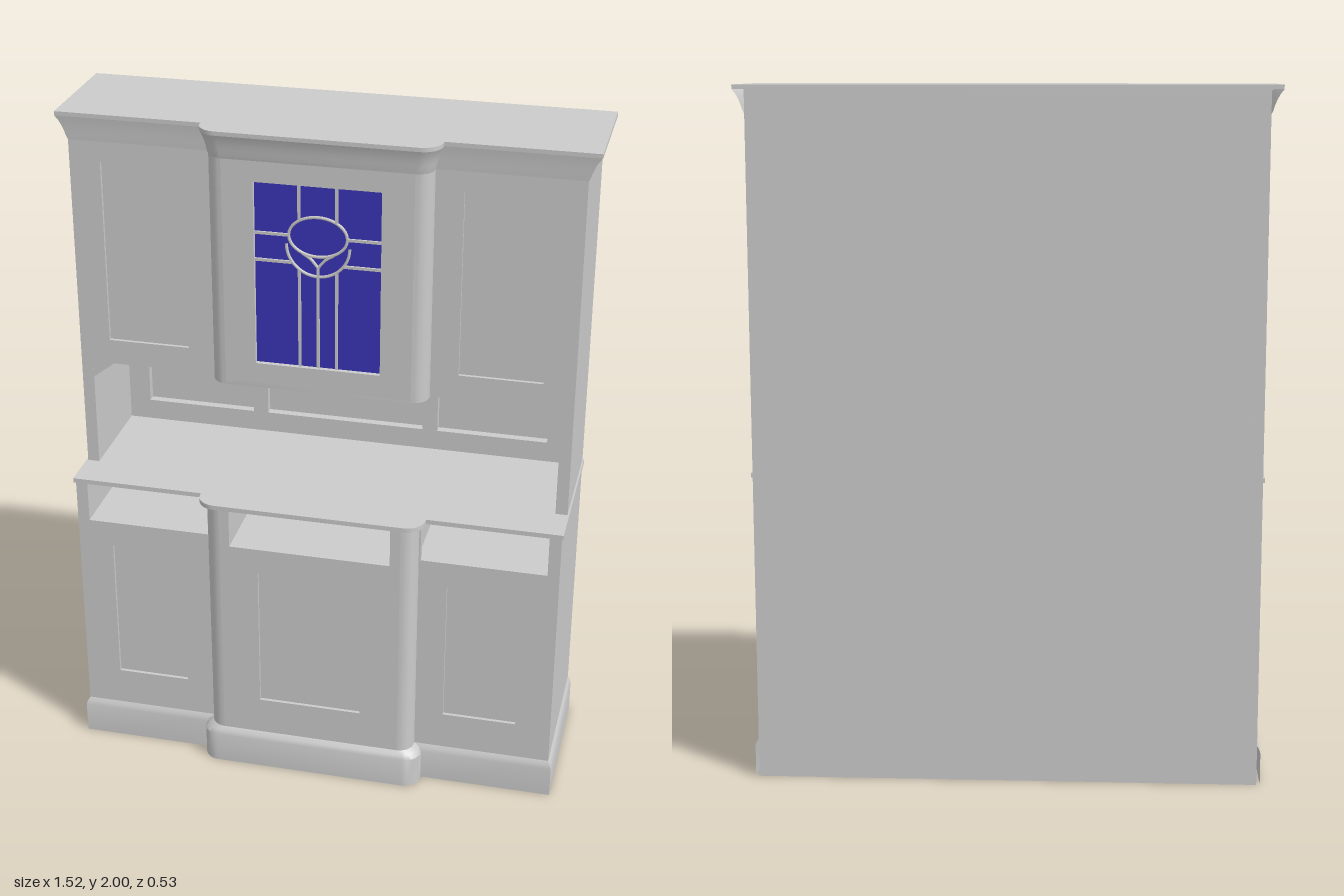
import * as THREE from 'three';
import { toCreasedNormals } from 'three/addons/utils/BufferGeometryUtils.js';

const grey = new THREE.MeshStandardMaterial({ color: 0xcccccc, side: THREE.DoubleSide });
const blue = new THREE.MeshStandardMaterial({ color: 0x3a35b8 });
const BACK = -0.265, ARC = 8;

export function createModel() {
  const root = new THREE.Group();

  const add = (name, geo, mat = grey) => {
    const mesh = new THREE.Mesh(geo, mat);
    mesh.name = name;
    root.add(mesh);
    return mesh;
  };
  const box = (name, x0, x1, y0, y1, z0, z1, mat) => {
    const g = new THREE.BoxGeometry(x1 - x0, y1 - y0, z1 - z0);
    g.translate((x0 + x1) / 2, (y0 + y1) / 2, (z0 + z1) / 2);
    return add(name, g, mat);
  };

  // Breakfront plan: half width, centre half width, wing front, centre front, corner radius
  const plan = (hw, hc, zw, zc, r = 0.045) => {
    const right = [];
    for (let i = 0; i <= ARC; i++) {
      const a = (Math.PI / 2) * (1 - i / ARC);
      right.push([hc - r + r * Math.cos(a), zc - r + r * Math.sin(a)]);
    }
    right.push([hc, zw], [hw, zw], [hw, BACK]);
    return [...right.map(([x, z]) => [-x, z]).reverse(), ...right];
  };

  // Surface through stacked plans; each row is [y, points]
  const loft = (name, rows) => {
    const n = rows[0][1].length, pos = [], index = [];
    rows.forEach(([y, pts]) => pts.forEach(([x, z]) => pos.push(x, y, z)));
    for (let j = 0; j < rows.length - 1; j++)
      for (let i = 0; i < n - 1; i++) {
        const a = j * n + i, b = a + 1, c = b + n, d = a + n;
        index.push(a, b, c, a, c, d);
      }
    const g = new THREE.BufferGeometry();
    g.setAttribute('position', new THREE.Float32BufferAttribute(pos, 3));
    g.setIndex(index);
    return add(name, toCreasedNormals(g, 0.6));
  };

  // Flat board cut to a plan
  const slab = (name, pts, y0, y1) => {
    const s = new THREE.Shape(pts.map(([x, z]) => new THREE.Vector2(x, z)));
    const g = new THREE.ExtrudeGeometry(s, { depth: y1 - y0, bevelEnabled: false });
    g.rotateX(Math.PI / 2).translate(0, y1, 0);
    return add(name, toCreasedNormals(g, 0.6));
  };

  // Upright board with rectangular openings [x0, x1, y0, y1]
  const rect = (T, x0, x1, y0, y1) => new T([[x0, y0], [x1, y0], [x1, y1], [x0, y1]].map(p => new THREE.Vector2(...p)));
  const board = (name, x0, x1, y0, y1, z, depth, openings) => {
    const s = rect(THREE.Shape, x0, x1, y0, y1);
    openings.forEach(o => s.holes.push(rect(THREE.Path, ...o)));
    const g = new THREE.ExtrudeGeometry(s, { depth, bevelEnabled: false });
    g.translate(0, 0, z - depth);
    return add(name, g);
  };
  const flip = (s, x0, x1) => (s > 0 ? [x0, x1] : [-x1, -x0]);

  // Carcass
  const lower = plan(0.725, 0.315, 0.197, 0.25);
  const upper = plan(0.725, 0.315, 0.085, 0.138);
  box('backPanel', -0.725, 0.725, 0, 1.99, BACK, -0.25);
  slab('drawerShelf', plan(0.72, 0.3, 0.19, 0.24), 0.75, 0.765);
  slab('upperCabinetFloor', upper, 1.24, 1.255);
  slab('worktop', plan(0.73, 0.335, 0.205, 0.268, 0.055), 0.893, 0.907);

  for (const s of [1, -1]) {
    const side = s > 0 ? 'left' : 'right';
    const outer = flip(s, 0.69, 0.725);
    box(side + 'LowerSide', ...outer, 0.1, 0.893, BACK, 0.195);
    box(side + 'UpperSide', ...outer, 0.9, 1.95, BACK, 0.085);
    box(side + 'Divider', ...flip(s, 0.29, 0.31), 0.03, 0.893, -0.25, 0.19);
    box(side + 'SlotCheek', ...flip(s, 0.24, 0.29), 0.765, 0.893, -0.25, 0.235);

    // Wing fronts with sunk door panels and open slots above the lower doors
    const lowPanel = [...flip(s, 0.4, 0.62), 0.235, 0.685];
    const highPanel = [...flip(s, 0.395, 0.635), 1.315, 1.86];
    board(side + 'LowerFront', ...flip(s, 0.31, 0.725), 0.1, 0.9, 0.197, 0.02,
      [lowPanel, [...flip(s, 0.32, 0.69), 0.765, 0.892]]);
    box(side + 'LowerDoorPanel', ...lowPanel, 0.177, 0.187);
    board(side + 'UpperFront', ...flip(s, 0.31, 0.725), 1.24, 1.95, 0.085, 0.02, [highPanel]);
    box(side + 'UpperDoorPanel', ...highPanel, 0.065, 0.075);

    // Rounded corners of the projecting centre
    const corner = pts => (s > 0 ? pts.slice(ARC + 4, 2 * ARC + 6) : pts.slice(2, ARC + 4));
    loft(side + 'LowerCorner', [[0.1, corner(lower)], [0.9, corner(lower)]]);
    loft(side + 'UpperCorner', [[1.24, corner(upper)], [1.95, corner(upper)]]);

    // Corner bracket of the open niche
    const tri = new THREE.Shape([[0.69, 1.19], [0.69, 1.24], [0.625, 1.24]].map(([x, y]) => new THREE.Vector2(s * x, y)));
    const g = new THREE.ExtrudeGeometry(tri, { depth: 0.02, bevelEnabled: false });
    add(side + 'NicheBracket', g.translate(0, 0, 0.064));
  }

  // Centre fronts
  const centrePanel = [-0.155, 0.155, 0.235, 0.685];
  const window_ = [-0.18, 0.18, 1.315, 1.86];
  board('centreLowerFront', -0.27, 0.27, 0.1, 0.9, 0.25, 0.02, [centrePanel, [-0.24, 0.24, 0.765, 0.892]]);
  box('centreDoorPanel', ...centrePanel, 0.23, 0.24);
  board('centreUpperFront', -0.27, 0.27, 1.24, 1.95, 0.138, 0.02, [window_]);

  // Niche back with three sunk panels
  board('nicheBackFrame', -0.69, 0.69, 0.9, 1.24, -0.225, 0.025,
    [[-0.625, -0.29, 0.97, 1.18], [-0.245, 0.24, 0.97, 1.18], [0.285, 0.62, 0.97, 1.18]]);

  // Plinth with a softened top edge, open underneath
  loft('plinth', [
    [0, plan(0.735, 0.338, 0.207, 0.265, 0.05)],
    [0.095, plan(0.735, 0.338, 0.207, 0.265, 0.05)],
    [0.108, plan(0.731, 0.33, 0.203, 0.26, 0.05)],
    [0.118, plan(0.725, 0.315, 0.197, 0.25)],
  ]);

  // Cove cornice: [y, flare from 0 to 1]
  const flared = t => plan(0.725 + 0.034 * t, 0.315 + 0.022 * t, 0.085 + 0.006 * t, 0.138 + 0.015 * t, 0.045 + 0.01 * t);
  loft('cornice', [[1.92, 0], [1.93, 0.14], [1.945, 0.28], [1.96, 0.46], [1.975, 0.7], [1.988, 1]].map(([y, t]) => [y, flared(t)]));
  slab('corniceTop', flared(1), 1.988, 2);

  // Leaded glass
  box('glass', ...window_, 0.118, 0.124, blue);
  const barZ = [0.122, 0.13], w = 0.004;
  for (const s of [1, -1]) {
    box('leadUpright', s * 0.053 - w, s * 0.053 + w, 1.757, 1.86, ...barZ);
    box('leadUpright', s * 0.053 - w, s * 0.053 + w, 1.315, 1.61, ...barZ);
    box('leadCrossbar', ...flip(s, 0.083, 0.18), 1.71 - w, 1.71 + w, ...barZ);
    box('leadCrossbar', ...flip(s, 0.075, 0.18), 1.63 - w, 1.63 + w, ...barZ);
  }
  box('leadCentre', -w, w, 1.315, 1.62, ...barZ);
  const lead = (name, pts, closed) => {
    const curve = new THREE.CatmullRomCurve3(pts.map(([x, y]) => new THREE.Vector3(x, y, 0.126)), closed);
    add(name, new THREE.TubeGeometry(curve, 40, 0.0045, 6, closed));
  };
  const arc = (cy, rx, ry, a0, a1, n) => Array.from({ length: n }, (_, i) => {
    const a = a0 + ((a1 - a0) * i) / n;
    return [rx * Math.cos(a), cy + ry * Math.sin(a)];
  });
  lead('leadOval', arc(1.71, 0.083, 0.058, 0, Math.PI * 2, 16), true);
  lead('leadBowl', [...arc(1.685, 0.09, 0.092, Math.PI, Math.PI * 2, 12), [0.09, 1.685]], false);
  for (const s of [1, -1]) lead('leadFork', [[0, 1.62], [s * 0.022, 1.645], [s * 0.045, 1.66]], false);

  return root;
}
